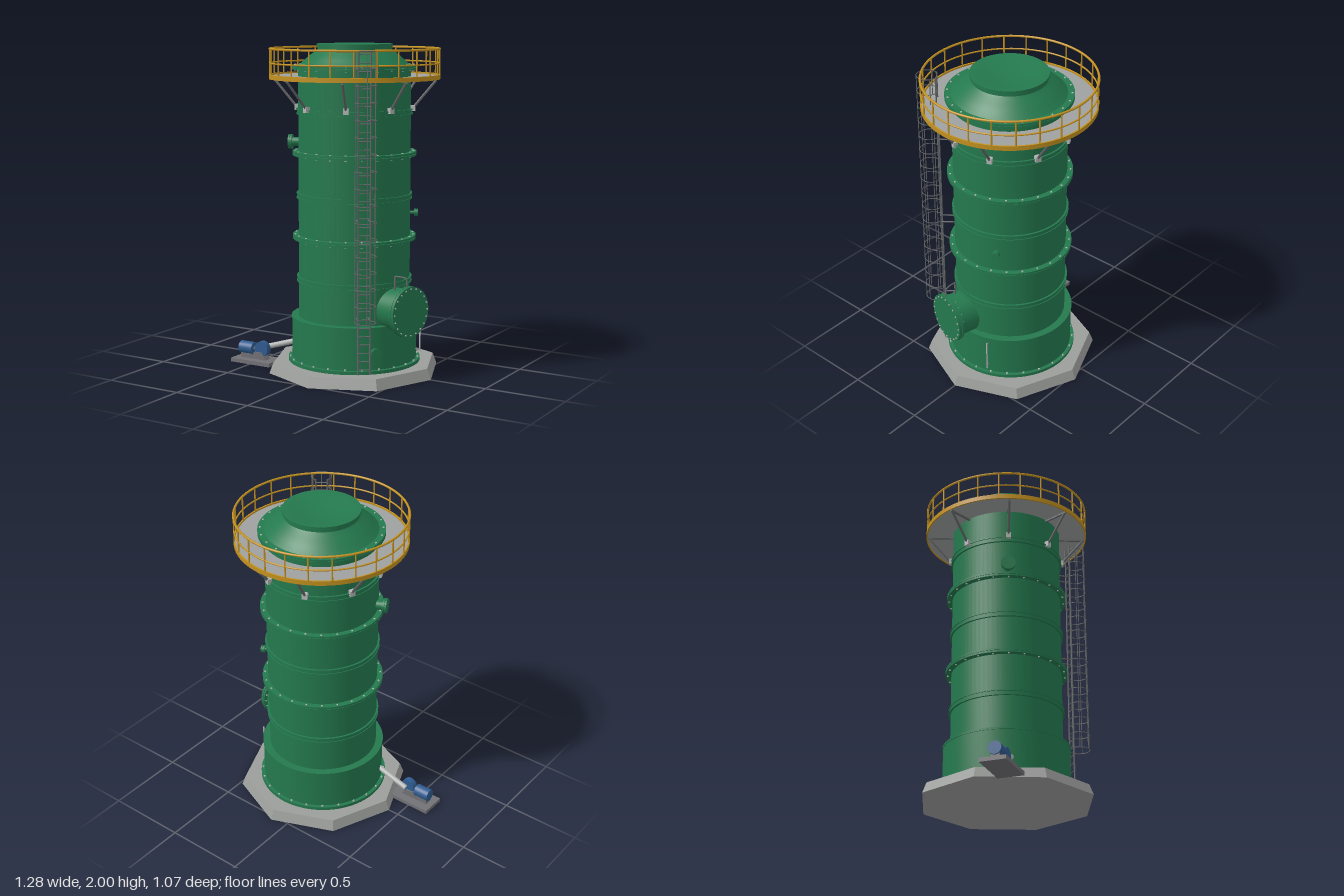
import * as THREE from 'three';
import { toCreasedNormals } from 'three/addons/utils/BufferGeometryUtils.js';

const material = (name, color) => {
  const m = new THREE.MeshStandardMaterial({ color });
  m.name = name;
  return m;
};

export function createModel() {
  const green = material('green paint', 0x24794e);
  const concrete = material('concrete', 0x9c9e9c);
  const deckGrey = material('deck grey', 0x9fa1a0);
  const yellow = material('safety yellow', 0xc4921f);
  const steel = material('dark steel', 0x66686a);
  const bright = material('bright steel', 0xb4b6b6);
  const blue = material('pump blue', 0x2f5c90);
  const plateGrey = material('plate grey', 0x717176);

  const model = new THREE.Group();
  model.name = 'scrubberTower';
  const tower = new THREE.Group();
  tower.name = 'tower';
  tower.position.x = 0.105;
  model.add(tower);

  const V = (x, y, z) => new THREE.Vector3(x, y, z);
  const add = (parent, name, geo, mat, x = 0, y = 0, z = 0) => {
    const m = new THREE.Mesh(geo, mat);
    m.name = name;
    m.position.set(x, y, z);
    parent.add(m);
    return m;
  };
  const rod = (parent, name, a, b, r, mat, sides = 6) => {
    const d = b.clone().sub(a);
    const m = add(parent, name, new THREE.CylinderGeometry(r, r, d.length(), sides), mat);
    m.position.copy(a).add(b).multiplyScalar(0.5);
    m.quaternion.setFromUnitVectors(V(0, 1, 0), d.normalize());
    return m;
  };
  const lathe = (pts) => toCreasedNormals(
    new THREE.LatheGeometry(pts.map(([r, y]) => new THREE.Vector2(r, y)), 72), 0.45);
  // Closed ring of rectangular section
  const ring = (name, r0, r1, y0, y1, mat) =>
    add(tower, name, lathe([[r0, y0], [r1, y0], [r1, y1], [r0, y1], [r0, y0]]), mat);
  // Group whose local +x points outward; degrees run from +x towards +z
  const radial = (name, degrees, y = 0) => {
    const g = new THREE.Group();
    g.name = name;
    g.rotation.y = -THREE.MathUtils.degToRad(degrees);
    g.position.y = y;
    tower.add(g);
    return g;
  };
  const boltCircle = (r, y, height) => {
    for (let i = 0; i < 24; i++) {
      const a = (i + 0.5) * Math.PI / 12;
      add(tower, 'bolt', new THREE.CylinderGeometry(0.006, 0.006, height, 6), bright,
        r * Math.cos(a), y, r * Math.sin(a));
    }
  };

  // Octagonal foundation with sloping sides
  const slab = new THREE.CylinderGeometry(0.51, 0.535, 0.065, 8).toNonIndexed();
  slab.computeVertexNormals();
  add(tower, 'foundation', slab, concrete, 0, 0.0325, 0);

  // Vessel: sump, shell, conical head and dished outlet cover
  add(tower, 'vessel', lathe([
    [0.405, 0.065], [0.405, 0.085], [0.382, 0.085], [0.382, 0.33], [0.386, 0.33], [0.386, 0.343],
    [0.34, 0.343], [0.34, 1.87], [0.333, 1.875], [0.3, 1.905], [0.265, 1.935], [0.235, 1.955],
    [0.224, 1.965], [0.224, 1.983], [0.23, 1.983], [0.23, 2.0], [0.222, 2.0],
    [0.165, 1.99], [0.11, 1.98], [0.055, 1.974], [0, 1.972]]), green);
  boltCircle(0.394, 0.088, 0.012);
  for (const y of [0.835, 1.345, 1.86]) {
    ring('shellFlange', 0.33, 0.375, y - 0.013, y - 0.001, green);
    ring('shellFlange', 0.33, 0.375, y + 0.001, y + 0.013, green);
    boltCircle(0.36, y, 0.036);
  }
  for (const y of [0.575, 1.087, 1.597]) {
    ring('stiffenerRing', 0.33, 0.352, y - 0.017, y - 0.01, green);
    ring('stiffenerRing', 0.33, 0.352, y + 0.01, y + 0.017, green);
    ring('stiffenerBand', 0.33, 0.347, y - 0.01, y + 0.01, green);
  }

  // Walkway with toe board and railing
  ring('walkwayDeck', 0.342, 0.508, 1.795, 1.808, deckGrey);
  ring('toeBoard', 0.506, 0.515, 1.79, 1.818, yellow);
  for (const [y, r] of [[1.97, 0.007], [1.885, 0.005]]) {
    add(tower, 'handrail', new THREE.TorusGeometry(0.51, r, 8, 72).rotateX(Math.PI / 2), yellow, 0, y, 0);
  }
  for (let i = 0; i < 24; i++) {
    const post = radial('railPost', i * 15);
    rod(post, 'post', V(0.51, 1.8, 0), V(0.51, 1.97, 0), 0.005, yellow);
  }

  // Walkway struts
  for (let i = 0; i < 8; i++) {
    const bracket = radial('walkwayBracket', 22.5 + i * 45);
    add(bracket, 'bracketPad', new THREE.BoxGeometry(0.03, 0.035, 0.032), bright, 0.352, 1.617, 0);
    rod(bracket, 'strut', V(0.355, 1.62, 0), V(0.492, 1.785, 0), 0.008, steel, 8);
    add(bracket, 'deckBeam', new THREE.BoxGeometry(0.165, 0.01, 0.012), steel, 0.42, 1.79, 0);
  }

  // Caged ladder
  const ladder = radial('ladder', 51.5);
  for (const z of [-0.036, 0.036]) {
    rod(ladder, 'ladderRail', V(0.42, 0.07, z), V(0.42, 1.97, z), 0.005, steel);
    for (const y of [0.395, 0.98, 1.565]) {
      rod(ladder, 'standoff', V(0.33, y, z), V(0.42, y, z), 0.004, steel);
    }
  }
  for (let i = 0; i < 38; i++) {
    const y = 0.1 + i * 0.05;
    rod(ladder, 'rung', V(0.42, y, -0.036), V(0.42, y, 0.036), 0.0035, steel);
  }
  const arc = THREE.MathUtils.degToRad(287);
  for (let i = 0; i < 17; i++) {
    const hoop = new THREE.TorusGeometry(0.062, 0.003, 4, 24, arc).rotateZ(-arc / 2).rotateX(Math.PI / 2);
    add(ladder, 'cageHoop', hoop, steel, 0.472, 0.395 + i * 0.0984, 0);
  }
  for (const deg of [-110, -55, 0, 55, 110]) {
    const a = THREE.MathUtils.degToRad(deg);
    const x = 0.472 + 0.062 * Math.cos(a), z = 0.062 * Math.sin(a);
    rod(ladder, 'cageBar', V(x, 0.395, z), V(x, 1.97, z), 0.0028, steel, 5);
  }

  // Manway with curved reinforcing pad, bolted cover and davit
  const manway = radial('manway', 15, 0.43);
  const pad = new THREE.RingGeometry(0.12, 0.175, 48, 2);
  const p = pad.attributes.position;
  for (let i = 0; i < p.count; i++) {
    const a = p.getX(i) / 0.346;
    p.setXYZ(i, 0.346 * Math.cos(a), p.getY(i), -0.346 * Math.sin(a));
  }
  pad.computeVertexNormals();
  add(manway, 'manwayPad', pad, green);
  rod(manway, 'manwayNeck', V(0.28, 0, 0), V(0.455, 0, 0), 0.13, green, 48);
  rod(manway, 'manwayFlange', V(0.443, 0, 0), V(0.457, 0, 0), 0.153, green, 48);
  rod(manway, 'manwayCover', V(0.46, 0, 0), V(0.478, 0, 0), 0.153, green, 48);
  for (let i = 0; i < 20; i++) {
    const a = i * Math.PI / 10;
    const y = 0.14 * Math.cos(a), z = 0.14 * Math.sin(a);
    rod(manway, 'coverBolt', V(0.436, y, z), V(0.483, y, z), 0.005, bright);
  }
  const davitPath = new THREE.CurvePath();
  const davitPts = [V(0.385, 0.1, 0.04), V(0.385, 0.21, 0.04), V(0.43, 0.21, 0.03), V(0.46, 0.205, 0.02), V(0.468, 0.14, 0.02)];
  for (let i = 1; i < davitPts.length; i++) davitPath.add(new THREE.LineCurve3(davitPts[i - 1], davitPts[i]));
  add(manway, 'davit', new THREE.TubeGeometry(davitPath, 40, 0.005, 6), steel);

  // Flanged nozzles: angle, height, shell radius, end radius, flange radius, pipe radius
  for (const [deg, y, r0, r1, rf, rp] of [
    [158, 1.405, 0.33, 0.405, 0.045, 0.028],
    [-28, 0.98, 0.33, 0.388, 0.023, 0.011],
    [42, 0.197, 0.375, 0.432, 0.027, 0.015]]) {
    const nozzle = radial('nozzle', deg, y);
    rod(nozzle, 'nozzlePipe', V(r0, 0, 0), V(r1, 0, 0), rp, green, 24);
    rod(nozzle, 'nozzleFlange', V(r1 - 0.024, 0, 0), V(r1 - 0.013, 0, 0), rf, green, 24);
    rod(nozzle, 'nozzleCover', V(r1 - 0.011, 0, 0), V(r1, 0, 0), rf, green, 24);
  }

  // Level gauge on the sump
  const gauge = radial('levelGauge', -20);
  rod(gauge, 'gaugeTube', V(0.41, 0.125, 0), V(0.41, 0.32, 0), 0.005, bright, 8);
  for (const y of [0.14, 0.305]) rod(gauge, 'gaugeStub', V(0.375, y, 0), V(0.41, y, 0), 0.005, steel, 8);

  // Circulation pump on its skid
  const pump = new THREE.Group();
  pump.name = 'pump';
  model.add(pump);
  add(pump, 'skid', new THREE.BoxGeometry(0.29, 0.024, 0.158), plateGrey, -0.495, 0.012, 0.192);
  add(pump, 'motorFoot', new THREE.BoxGeometry(0.08, 0.03, 0.05), plateGrey, -0.56, 0.038, 0.193);
  rod(pump, 'motor', V(-0.61, 0.085, 0.193), V(-0.512, 0.085, 0.193), 0.039, blue, 32);
  rod(pump, 'shaft', V(-0.515, 0.085, 0.193), V(-0.45, 0.085, 0.193), 0.012, steel, 12);
  rod(pump, 'volute', V(-0.45, 0.09, 0.174), V(-0.45, 0.09, 0.212), 0.048, blue, 32);
  const foot = new THREE.Shape([[-0.06, 0], [0.06, 0], [0.025, 0.045], [-0.025, 0.045]].map((q) => new THREE.Vector2(...q)));
  add(pump, 'pumpFoot', new THREE.ExtrudeGeometry(foot, { depth: 0.054, bevelEnabled: false }),
    plateGrey, -0.47, 0.024, 0.166);
  rod(pump, 'dischargePipe', V(-0.45, 0.095, 0.152), V(-0.225, 0.163, 0.152), 0.017, bright, 20);

  return model;
}
